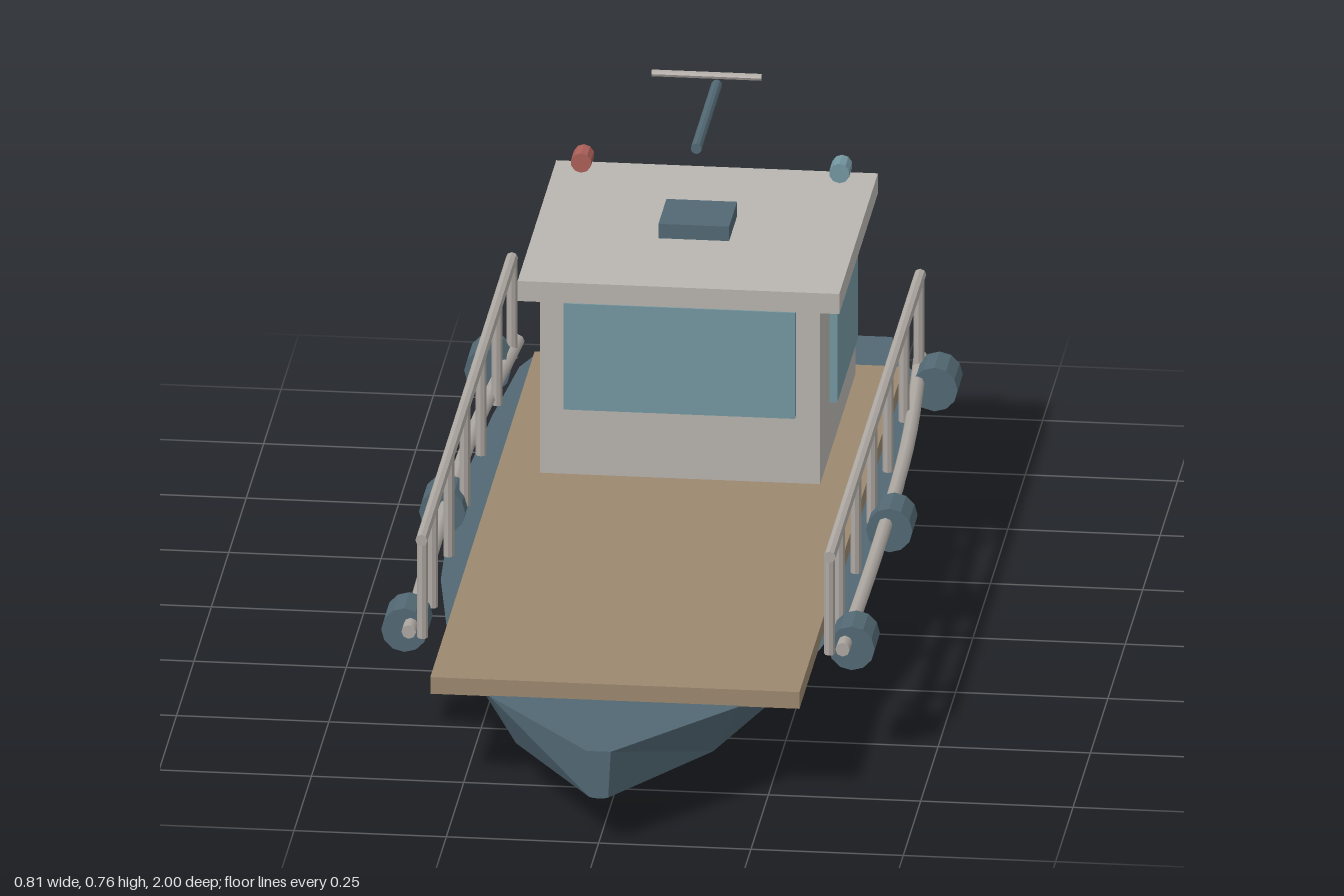
import * as THREE from 'three';

const paint = (name, color) => {
  const m = new THREE.MeshStandardMaterial({ color });
  m.name = name;
  return m;
};

export function createModel() {
  const boat = new THREE.Group();
  boat.name = 'workboat';
  const slate = paint('slate blue', 0x526873);
  const wood = paint('deck tan', 0x9c8870);
  const white = paint('cabin grey', 0xb9b6b1);
  const glass = paint('window blue', 0x7597a1);
  const red = paint('signal red', 0xac6058);
  const metal = paint('rail metal', 0xaea8a2);

  const add = (name, geo, mat, x = 0, y = 0, z = 0, parent = boat) => {
    const m = new THREE.Mesh(geo, mat);
    m.name = name;
    m.position.set(x, y, z);
    parent.add(m);
    return m;
  };
  // box given by its extents
  const box = (name, mat, x0, x1, y0, y1, z0, z1) =>
    add(name, new THREE.BoxGeometry(x1 - x0, y1 - y0, z1 - z0), mat, (x0 + x1) / 2, (y0 + y1) / 2, (z0 + z1) / 2);
  // faceted rod along one axis
  const rod = (name, mat, axis, r, len, x, y, z, sides = 10) => {
    const g = new THREE.CylinderGeometry(r, r, len, sides).toNonIndexed();
    if (axis === 'x') g.rotateZ(Math.PI / 2);
    if (axis === 'z') g.rotateX(Math.PI / 2);
    g.computeVertexNormals();
    return add(name, g, mat, x, y, z);
  };

  // Hull stations: z, sheer half width, bottom half width, bottom height
  const stations = [
    [1, 0.02, 0.008, 0.078], [0.77, 0.205, 0.07, 0.066], [0.5, 0.305, 0.11, 0.054], [0.25, 0.345, 0.135, 0.045],
    [0, 0.36, 0.145, 0.042], [-0.25, 0.358, 0.143, 0.043], [-0.5, 0.347, 0.135, 0.05],
    [-0.73, 0.328, 0.12, 0.06], [-0.935, 0.26, 0.1, 0.076],
  ];
  const rings = stations.map(([z, w, b, y]) => {
    const half = [[w, 0.16], [w * 0.79, 0.08], [b, y]];
    const ring = [...half, ...half.slice().reverse().map(([x, h]) => [-x, h])];
    return ring.map(([x, h]) => [x, h, z]);
  });
  const pos = [];
  const tri = (a, b, c) => pos.push(...a, ...b, ...c);
  for (let i = 0; i < rings.length - 1; i++) {
    const A = rings[i], B = rings[i + 1];
    for (let j = 0; j < 6; j++) {
      const k = (j + 1) % 6;
      tri(A[j], A[k], B[k]);
      tri(A[j], B[k], B[j]);
    }
  }
  const bow = rings[0], stern = rings[rings.length - 1];
  for (let j = 1; j < 5; j++) {
    tri(bow[0], bow[j + 1], bow[j]);
    tri(stern[0], stern[j], stern[j + 1]);
  }
  const hullGeo = new THREE.BufferGeometry();
  hullGeo.setAttribute('position', new THREE.Float32BufferAttribute(pos, 3));
  hullGeo.computeVertexNormals();
  add('hull', hullGeo, slate);

  // Deck and cabin
  box('deck', wood, -0.303, 0.303, 0.159, 0.188, -0.73, 0.767);
  box('cabin', white, -0.23, 0.23, 0.193, 0.502, -0.675, -0.168);
  box('roof', white, -0.264, 0.264, 0.5, 0.535, -0.7, -0.145);
  box('roofHatch', slate, -0.058, 0.058, 0.535, 0.56, -0.48, -0.365);
  box('frontWindow', glass, -0.19, 0.19, 0.31, 0.495, -0.169, -0.155);
  for (const s of [-1, 1]) {
    add(s > 0 ? 'leftWindow' : 'rightWindow', new THREE.BoxGeometry(0.014, 0.165, 0.3), glass, s * 0.236, 0.368, -0.45);
  }

  // Navigation lights, mast and crossbar
  rod('rightLight', red, 'z', 0.017, 0.042, -0.212, 0.57, -0.622);
  rod('leftLight', glass, 'z', 0.017, 0.042, 0.212, 0.57, -0.622);
  rod('mast', slate, 'z', 0.009, 0.295, 0, 0.68, -0.548);
  rod('crossbar', metal, 'x', 0.006, 0.18, 0, 0.752, -0.55, 8);

  // Railings, rubbing rails and fenders on both sides
  for (const s of [-1, 1]) {
    for (const z of [0.605, 0.465, 0.23, 0, -0.235, -0.465, -0.678]) {
      rod('railPost', metal, 'y', 0.009, 0.172, s * 0.334, 0.281, z, 8);
    }
    rod('topRail', metal, 'z', 0.01, 1.3, s * 0.335, 0.367, -0.036, 8);
    const path = new THREE.CatmullRomCurve3(
      [[0.356, 0.613], [0.36, 0.3], [0.36, 0], [0.354, -0.35], [0.331, -0.728]].map(([x, z]) => new THREE.Vector3(s * x, 0.206, z)));
    add('rubRail', new THREE.TubeGeometry(path, 16, 0.012, 8), metal);
    for (const t of [0, 1]) {
      const cap = add('rubRailEnd', new THREE.CircleGeometry(0.012, 8), metal);
      cap.position.copy(path.getPoint(t));
      if (t) cap.rotation.y = Math.PI;
    }
    for (const z of [0.542, 0, -0.648]) rod('fender', slate, 'z', 0.038, 0.075, s * 0.367, 0.196, z, 12);
  }

  // Outboard engine, gearcase and propeller
  box('engine', slate, -0.072, 0.072, 0.048, 0.255, -0.935, -0.815);
  box('gearcase', red, -0.052, 0.052, 0.026, 0.08, -0.948, -0.88);
  rod('propellerShaft', metal, 'z', 0.013, 0.055, 0, 0.065, -0.968, 8);
  const propeller = new THREE.Group();
  propeller.name = 'propeller';
  propeller.position.set(0, 0.065, -0.995);
  boat.add(propeller);
  for (let i = 0; i < 6; i++) {
    const blade = new THREE.BoxGeometry(0.026, 0.063, 0.009);
    blade.translate(0, 0.0335, 0);
    blade.rotateZ(i * Math.PI / 3);
    add('blade', blade, metal, 0, 0, 0, propeller);
  }
  return boat;
}
